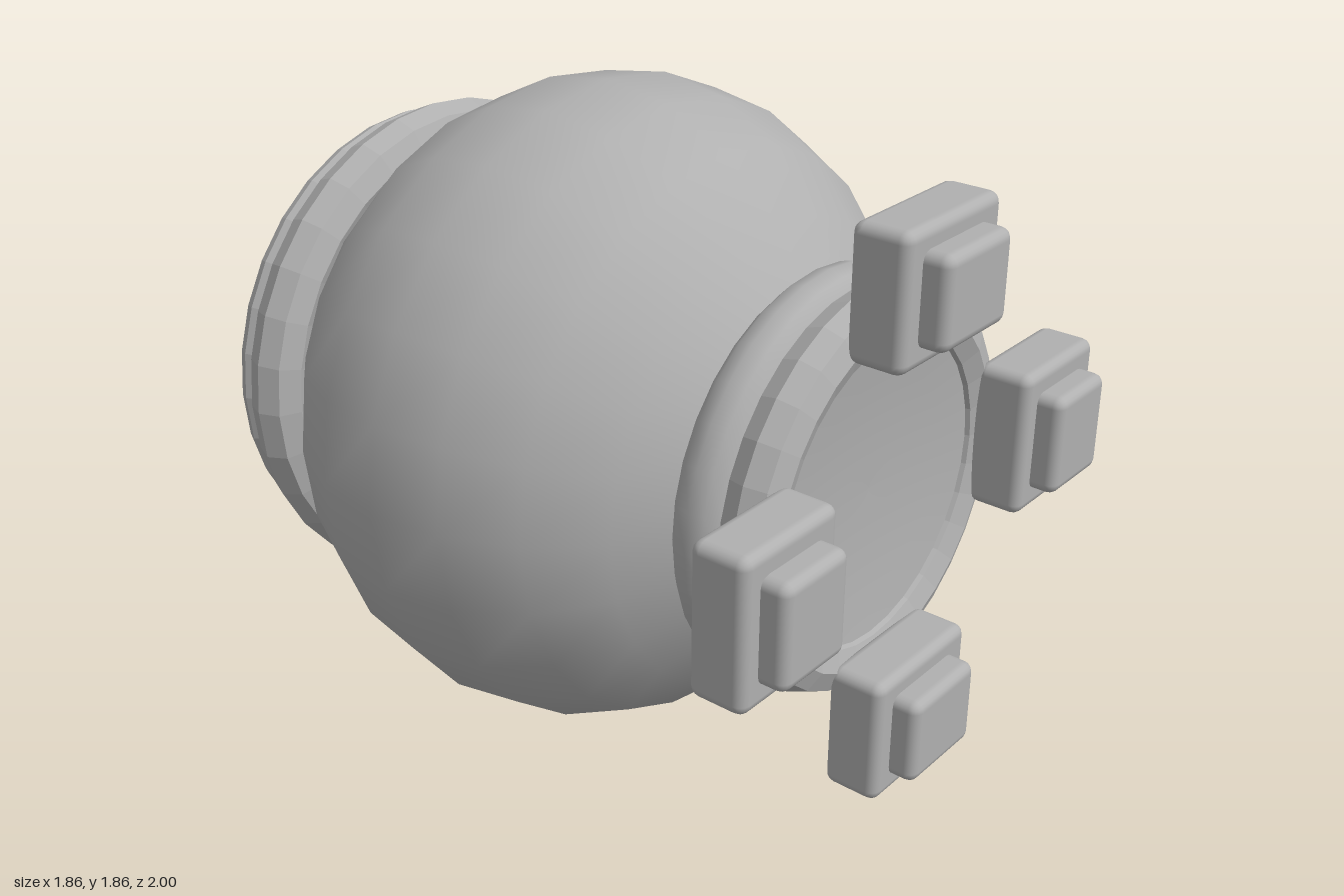
import * as THREE from 'three';
import { RoundedBoxGeometry } from 'three/addons/geometries/RoundedBoxGeometry.js';

const CY = 0.93;        // height of the main axis
const BALL_Z = -0.17;   // centre of the ball along the axis

export function createModel() {
  const model = new THREE.Group();
  const grey = new THREE.MeshStandardMaterial({ color: 0xb0b0b0 });

  const add = (name, geometry, x, y, z, parent = model) => {
    const mesh = new THREE.Mesh(geometry, grey);
    mesh.name = name;
    mesh.position.set(x, y, z);
    parent.add(mesh);
    return mesh;
  };

  // Faceted version of a geometry
  const faceted = (geometry) => {
    const flat = geometry.toNonIndexed();
    flat.computeVertexNormals();
    return flat;
  };

  // Slightly flattened ball, open where the collars sit
  const profile = [140, 135, 120, 105, 90, 75, 60, 45, 30].map((deg) => {
    const a = THREE.MathUtils.degToRad(deg);
    return new THREE.Vector2(0.93 * Math.sin(a), 0.81 * Math.cos(a));
  });
  const shell = new THREE.LatheGeometry(profile, 24);
  shell.rotateX(Math.PI / 2);
  add('ball', shell, 0, CY, BALL_Z);

  // Shallow dishes closing the openings; side is 1 for front, -1 for back
  const dish = (radius, depth, side) => {
    const points = [1, 0.75, 0.5, 0.25, 0].map(
      (t) => new THREE.Vector2(radius * t, -depth * (1 - t * t)));
    const geometry = new THREE.LatheGeometry(points, 32);
    geometry.rotateX(side * Math.PI / 2);
    return geometry;
  };
  add('frontDish', dish(0.43, 0.03, 1), 0, CY, 0.75);
  add('backDish', dish(0.6, 0.04, -1), 0, CY, -0.84);

  // Collars around both openings
  add('frontCollar', new THREE.TorusGeometry(0.49, 0.085, 12, 32), 0, CY, 0.57);
  add('frontRim', faceted(new THREE.TorusGeometry(0.49, 0.08, 8, 32)), 0, CY, 0.706);
  add('backCollar', faceted(new THREE.TorusGeometry(0.65, 0.085, 8, 32)), 0, CY, -0.848);
  add('backRim', faceted(new THREE.TorusGeometry(0.65, 0.042, 8, 32)), 0, CY, -0.958);

  // Four stepped blocks around the front rim
  for (let i = 0; i < 4; i++) {
    const block = new THREE.Group();
    block.name = 'frontBlock' + (i + 1);
    add('blockBase', new RoundedBoxGeometry(0.42, 0.365, 0.165, 2, 0.03), 0, 0.62, 0.843, block);
    add('blockButton', new RoundedBoxGeometry(0.29, 0.25, 0.14, 2, 0.03), 0, 0.62, 0.93, block);
    block.position.y = CY + 0.005;
    block.rotation.z = i * Math.PI / 2;
    model.add(block);
  }

  return model;
}
